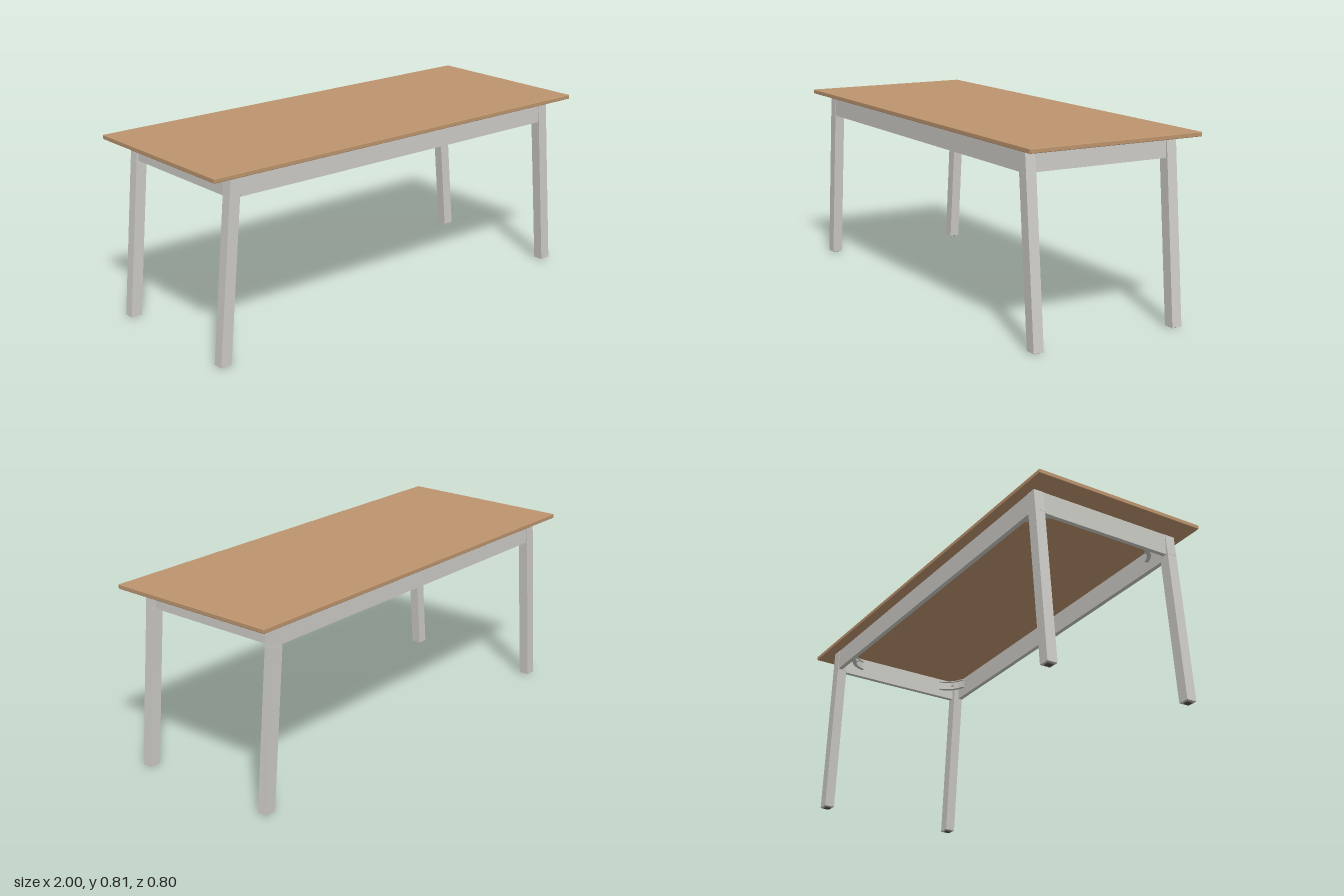
import * as THREE from 'three';
import { RoundedBoxGeometry } from 'three/addons/geometries/RoundedBoxGeometry.js';

const TOP_Y = 0.792, SEAM_Y = 0.697, FOOT_Y = 0.005;
const LEG_W = 0.05, LEG_D = 0.046, LEG_Z = 0.333;
const SPLAY = 0.0915;                                   // outward drift of the legs per unit of height
const legX = (y) => 0.938 - SPLAY * (y - FOOT_Y);       // centre line of a leg

export function createModel() {
  const group = new THREE.Group();
  const wood = new THREE.MeshStandardMaterial({ color: 0xbd956e });
  const metal = new THREE.MeshStandardMaterial({ color: 0xcdccc7 });
  const glideGrey = new THREE.MeshStandardMaterial({ color: 0x55544f });
  wood.name = 'wood';
  metal.name = 'paintedMetal';
  glideGrey.name = 'glideGrey';

  const add = (name, geometry, material, x, y, z, parent = group) => {
    const mesh = new THREE.Mesh(geometry, material);
    mesh.name = name;
    mesh.position.set(x, y, z);
    parent.add(mesh);
    return mesh;
  };

  // Leg section between two heights, sheared so both ends stay level
  const legSection = (y0, y1, w, d, sx) => {
    const g = new THREE.BoxGeometry(w, y1 - y0, d).toNonIndexed();
    const p = g.attributes.position;
    for (let i = 0; i < p.count; i++) p.setX(i, p.getX(i) - sx * SPLAY * p.getY(i));
    g.computeVertexNormals();
    return g;
  };

  // Table top with slightly softened edges
  add('tableTop', new RoundedBoxGeometry(2, 0.019, 0.804, 2, 0.003), wood, 0, 0.8015, 0);

  // Aprons
  const apronH = TOP_Y - SEAM_Y, apronY = (TOP_Y + SEAM_Y) / 2, T = 0.02;
  for (const s of [1, -1]) {
    add(s > 0 ? 'frontApron' : 'backApron', new THREE.BoxGeometry(1.69, apronH, T), metal, 0, apronY, s * 0.344);
    add(s > 0 ? 'leftApron' : 'rightApron', new THREE.BoxGeometry(T, apronH, 0.622), metal, s * 0.879, apronY, 0);
  }

  // Corner bracket outline: a bowed strip with a tab at each end
  const bracket = new THREE.Shape();
  bracket.moveTo(-0.065, -0.018);
  bracket.quadraticCurveTo(0, 0.02, 0.065, -0.018);
  bracket.lineTo(0.065, -0.012);
  bracket.quadraticCurveTo(0, 0.026, -0.065, -0.012);
  bracket.closePath();
  const bracketGeo = new THREE.ExtrudeGeometry(bracket, { depth: 0.044, bevelEnabled: false, curveSegments: 8 });
  bracketGeo.rotateX(-Math.PI / 2).translate(0, -0.022, 0);
  const flange = new THREE.Shape();
  flange.moveTo(-0.065, -0.018);
  flange.quadraticCurveTo(0, 0.02, 0.065, -0.018);
  flange.lineTo(0.058, -0.026);
  flange.quadraticCurveTo(0, 0.006, -0.058, -0.026);
  flange.closePath();
  const flangeGeo = new THREE.ExtrudeGeometry(flange, { depth: 0.004, bevelEnabled: false, curveSegments: 8 });
  flangeGeo.rotateX(-Math.PI / 2);

  for (const sx of [1, -1]) for (const sz of [1, -1]) {
    const side = (sz > 0 ? 'front' : 'back') + (sx > 0 ? 'Left' : 'Right');

    // Leg head, lower leg and floor glide
    const midHead = (SEAM_Y + TOP_Y) / 2, midLeg = (FOOT_Y + SEAM_Y) / 2;
    add(side + 'LegHead', legSection(SEAM_Y + 0.001, TOP_Y, LEG_W, LEG_D, sx), metal, sx * legX(midHead), midHead, sz * LEG_Z);
    add(side + 'Leg', legSection(FOOT_Y, SEAM_Y, LEG_W, LEG_D, sx), metal, sx * legX(midLeg), midLeg, sz * LEG_Z);
    add(side + 'Glide', new THREE.BoxGeometry(0.026, FOOT_Y, 0.026), glideGrey, sx * legX(0), FOOT_Y / 2, sz * LEG_Z);

    // Diagonal bracket with flanges and a bolt behind the leg
    const corner = new THREE.Group();
    corner.name = side + 'Bracket';
    corner.position.set(sx * 0.815, 0.745, sz * 0.28);
    corner.rotation.y = Math.atan2(-sx, -sz);           // local +z faces the table centre
    add('bracketStrip', bracketGeo, metal, 0, 0, 0, corner);
    for (const y of [-0.022, 0.018]) add('bracketFlange', flangeGeo, metal, 0, y, 0, corner);
    const bolt = add('bolt', new THREE.CylinderGeometry(0.005, 0.005, 0.06, 10), metal, 0, 0, -0.012, corner);
    bolt.rotation.x = Math.PI / 2;
    const nut = add('nut', new THREE.CylinderGeometry(0.01, 0.01, 0.008, 6), metal, 0, 0, 0.008, corner);
    nut.rotation.x = Math.PI / 2;
    group.add(corner);
  }
  return group;
}
